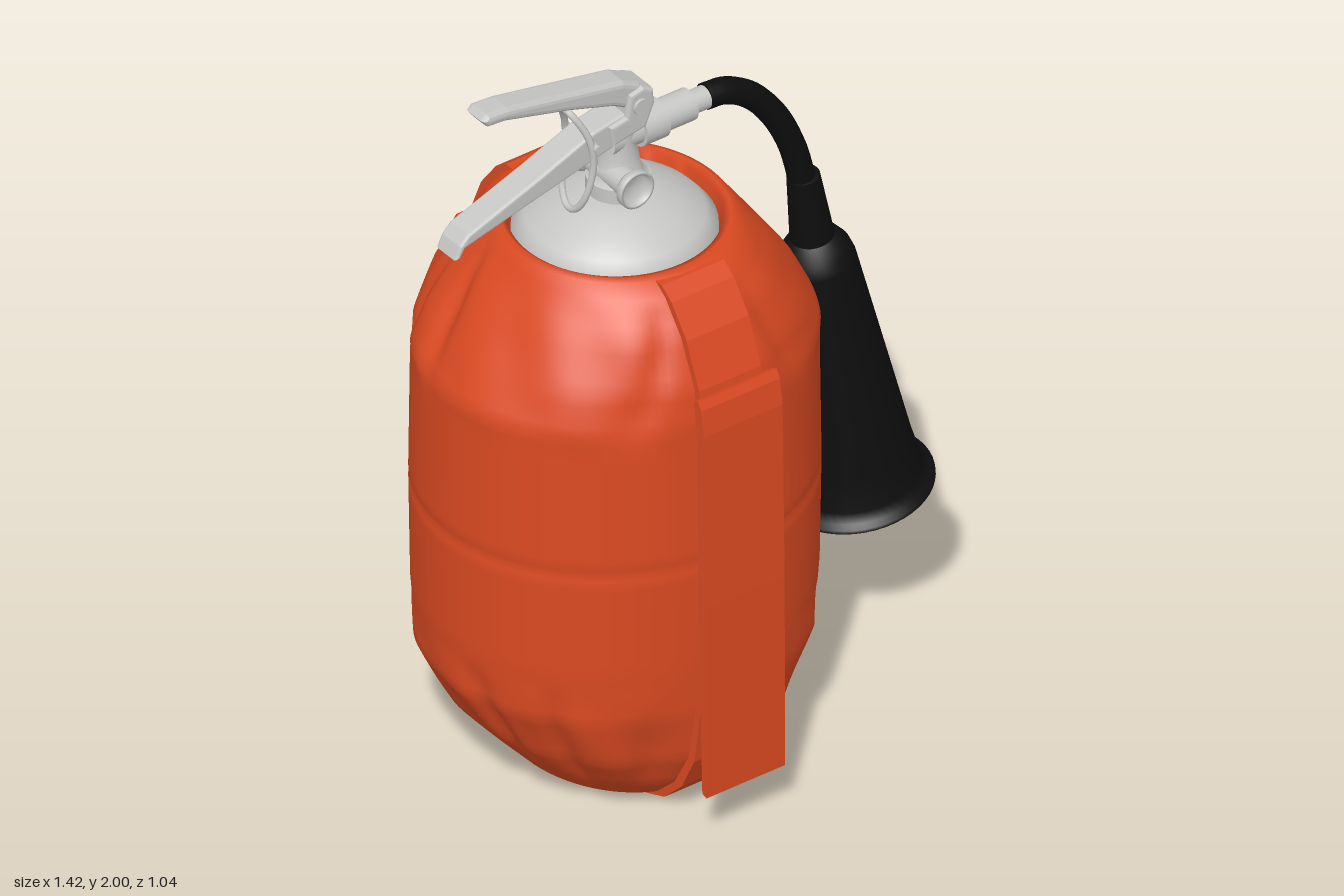
import * as THREE from 'three';

const orange = new THREE.MeshStandardMaterial({ color: 0xdb4a22 });
orange.name = 'orange fabric';
const grey = new THREE.MeshStandardMaterial({ color: 0xc6c6c4 });
grey.name = 'grey metal';
const black = new THREE.MeshStandardMaterial({ color: 0x0e0e0e, side: THREE.DoubleSide });
black.name = 'black rubber';

const AXIS = -0.2; // x of the bottle's upright axis

function add(parent, name, geometry, material, x = 0, y = 0, z = 0) {
  const mesh = new THREE.Mesh(geometry, material);
  mesh.name = name;
  mesh.position.set(x, y, z);
  parent.add(mesh);
  return mesh;
}
const lathe = (pts, seg = 40) => new THREE.LatheGeometry(pts.map(p => new THREE.Vector2(p[0], p[1])), seg);
const shapeOf = pts => new THREE.Shape(pts.map(p => new THREE.Vector2(p[0], p[1])));
const curveOf = (pts, closed = false) =>
  new THREE.CatmullRomCurve3(pts.map(p => new THREE.Vector3(...p)), closed);

// side profile in x, y given a rounded thickness along z
function slab(pts, width, bevel) {
  const g = new THREE.ExtrudeGeometry(shapeOf(pts), {
    depth: width - 2 * bevel, bevelEnabled: bevel > 0, bevelThickness: bevel,
    bevelSize: bevel, bevelOffset: -bevel, bevelSegments: 3,
  });
  return g.translate(0, 0, bevel - width / 2);
}
// side profile in z, y given a width along x
const strip = (pts, width) => slab(pts, width, 0).rotateY(-Math.PI / 2);

// cover outline: height, half width along x, half width along z
const outline = [
  [0, 0.23, 0.24], [0.03, 0.265, 0.315], [0.1, 0.325, 0.385], [0.2, 0.41, 0.435],
  [0.35, 0.492, 0.46], [0.5, 0.505, 0.468], [0.78, 0.508, 0.475], [0.795, 0.501, 0.469],
  [0.81, 0.508, 0.475], [1.2, 0.503, 0.47], [1.3, 0.445, 0.455], [1.42, 0.368, 0.405],
  [1.5, 0.31, 0.345], [1.528, 0.29, 0.305],
];

// soft cover with pinched folds on the shoulder and around the foot
function coverGeometry() {
  const rows = [[0, 0, 0], [0, 0.23, 0.24]];
  for (let i = 0; i < outline.length - 1; i++) {
    const a = outline[i], b = outline[i + 1];
    const n = Math.max(1, Math.ceil((b[0] - a[0]) / 0.03));
    for (let k = 0; k < n; k++) rows.push(a.map((v, c) => v + (b[c] - v) * k / n));
  }
  rows.push(outline[outline.length - 1], [1.533, 0.275, 0.285], [1.522, 0.26, 0.262], [1.44, 0.25, 0.25]);
  const g = lathe(rows.map(r => [1, r[0]]), 144);
  const p = g.attributes.position;
  const bump = (y, mid, half) => Math.max(0, 1 - ((y - mid) / half) ** 2);
  for (let i = 0; i < p.count; i++) {
    const [y, rx, rz] = rows[i % rows.length];
    const x = p.getX(i), z = p.getZ(i);
    const a = Math.atan2(x, z);
    const free = Math.min(1, Math.max(0, Math.abs(x) * 2.5 - 0.4));
    const high = bump(y, 1.33, 0.17), low = bump(y, 0.25, 0.2);
    const fold = Math.abs(Math.cos(4 * a + 3 * (y - 0.8) * Math.sin(3 * a))) ** 7;
    const ripple = Math.sin(11 * a + 14 * y) * 0.004;
    const d = free * (high + low) * (ripple + 0.005 - 0.022 * fold);
    p.setXYZ(i, x * (rx + d), y, z * (rz + d));
  }
  g.computeVertexNormals();
  return g;
}

function createCover() {
  const cover = new THREE.Group();
  cover.name = 'cover';
  cover.position.x = AXIS;
  add(cover, 'fabricCover', coverGeometry(), orange);

  // strap hugging the cover and a hanging flap, on front and back
  const outer = outline.map(r => [r[2] + 0.01, r[0]]);
  const inner = outline.map(r => [r[2] - 0.03, r[0]]).reverse();
  const flap = [[0.505, 0.15], [0.522, 0.145], [0.52, 0.7], [0.512, 1.2], [0.5, 1.27], [0.488, 1.292],
    [0.472, 1.285], [0.482, 1.2], [0.49, 0.7]];
  for (const side of ['front', 'back']) {
    const half = new THREE.Group();
    half.name = side + 'Closure';
    if (side === 'back') half.rotation.y = Math.PI;
    add(half, side + 'Strap', strip([...outer, ...inner], 0.185), orange);
    add(half, side + 'Flap', strip(flap, 0.235), orange, side === 'front' ? 0.005 : -0.005);
    cover.add(half);
  }
  return cover;
}

function createValve() {
  const valve = new THREE.Group();
  valve.name = 'valve';
  // bottle dome and neck
  add(valve, 'bottleDome', lathe([[0.252, 1.44], [0.25, 1.5], [0.22, 1.535], [0.17, 1.565],
    [0.12, 1.588], [0.08, 1.6], [0, 1.605]], 48), grey, AXIS);
  add(valve, 'neck', lathe([[0.08, 1.59], [0.08, 1.64], [0.08, 1.64], [0.058, 1.648],
    [0.05, 1.7], [0.042, 1.74], [0.045, 1.82], [0.045, 1.82], [0, 1.82]], 28), grey, AXIS + 0.01);

  // gauge boss with a shallow dished disc at each end
  const boss = new THREE.CylinderGeometry(0.036, 0.036, 0.16, 24).rotateX(Math.PI / 2);
  add(valve, 'gaugeBoss', boss, grey, -0.212, 1.655);
  const dish = [[0, 0.07], [0.035, 0.073], [0.05, 0.09], [0.05, 0.108], [0.043, 0.108], [0.036, 0.09], [0, 0.088]];
  for (const s of [1, -1]) {
    const disc = lathe(dish, 28).rotateX(s * Math.PI / 2);
    add(valve, s > 0 ? 'frontGauge' : 'backGauge', disc, grey, -0.212, 1.655);
  }

  // stepped outlet towards the hose
  const steps = [[0.042, -0.03], [0.042, 0.06], [0.052, 0.06], [0.052, 0.13], [0.042, 0.135],
    [0.042, 0.22], [0.03, 0.225], [0.03, 0.29]];
  const outlet = lathe(steps.flatMap(s => [s, s]), 28).rotateZ(-Math.PI / 2);
  add(valve, 'outlet', outlet, grey, AXIS, 1.753);

  // head holding the two levers
  add(valve, 'leverHead', slab([[-0.24, 1.76], [-0.14, 1.78], [-0.115, 1.84], [-0.12, 1.885],
    [-0.15, 1.9], [-0.19, 1.89], [-0.2, 1.83], [-0.25, 1.82]], 0.1, 0.01), grey);
  const pivot = new THREE.CylinderGeometry(0.022, 0.022, 0.116, 16).rotateX(Math.PI / 2);
  add(valve, 'pivotPin', pivot, grey, -0.16, 1.85);

  add(valve, 'carryHandle', slab([[-0.62, 1.985], [-0.605, 2], [-0.545, 1.996], [-0.2, 1.93],
    [-0.15, 1.905], [-0.13, 1.87], [-0.18, 1.84], [-0.23, 1.868], [-0.36, 1.91], [-0.55, 1.96],
    [-0.605, 1.965]], 0.08, 0.015), grey);
  add(valve, 'squeezeLever', slab([[-0.705, 1.615], [-0.69, 1.65], [-0.665, 1.675], [-0.45, 1.755],
    [-0.29, 1.82], [-0.18, 1.84], [-0.18, 1.775], [-0.24, 1.75], [-0.36, 1.72], [-0.63, 1.652],
    [-0.675, 1.64], [-0.69, 1.615]], 0.08, 0.008), grey);

  // wire safety loop
  const loop = [[-0.345, 1.885, 0.015], [-0.315, 1.82, 0.048], [-0.305, 1.74, 0.056], [-0.325, 1.64, 0.045],
    [-0.335, 1.6, 0.015]];
  const back = loop.map(([x, y, z]) => [x, y, -z]).reverse();
  add(valve, 'safetyLoop', new THREE.TubeGeometry(curveOf([...loop, ...back], true), 60, 0.009, 8, true), grey);
  const pin = new THREE.CylinderGeometry(0.01, 0.01, 0.14, 10).rotateX(Math.PI / 2);
  add(valve, 'safetyPin', pin, grey, -0.3, 1.79);
  return valve;
}

function createHose() {
  const hose = new THREE.Group();
  hose.name = 'hose';
  const path = curveOf([[0.07, 1.754, 0], [0.125, 1.748, 0], [0.2, 1.705, 0], [0.275, 1.615, 0],
    [0.33, 1.5, 0], [0.362, 1.38, 0]]);
  add(hose, 'hoseTube', new THREE.TubeGeometry(path, 40, 0.034, 18), black);
  add(hose, 'hoseEnd', new THREE.CylinderGeometry(0.034, 0.034, 0.01, 18).rotateZ(Math.PI / 2), black, 0.074, 1.754);

  // sleeve and open horn, running down their shared tilt
  const sleeve = lathe([[0.057, -0.22], [0.041, 0], [0.041, 0], [0.03, 0.002]], 28);
  add(hose, 'hoseSleeve', sleeve, black, 0.363, 1.4).rotation.z = 0.14;
  const horn = lathe([[0.195, -0.006], [0.195, 0.004], [0.18, 0.012], [0.167, 0.035], [0.155, 0.12],
    [0.095, 0.71], [0.085, 0.745], [0.058, 0.785], [0, 0.79]], 48);
  add(hose, 'horn', horn, black, 0.518, 0.439).rotation.z = 0.16;
  const lining = lathe([[0.195, -0.006], [0.172, 0.008], [0.157, 0.035], [0.085, 0.7], [0, 0.705]], 48);
  add(hose, 'hornLining', lining, black, 0.518, 0.439).rotation.z = 0.16;
  return hose;
}

export function createModel() {
  const model = new THREE.Group();
  model.name = 'fireExtinguisher';
  model.add(createCover(), createValve(), createHose());
  return model;
}
